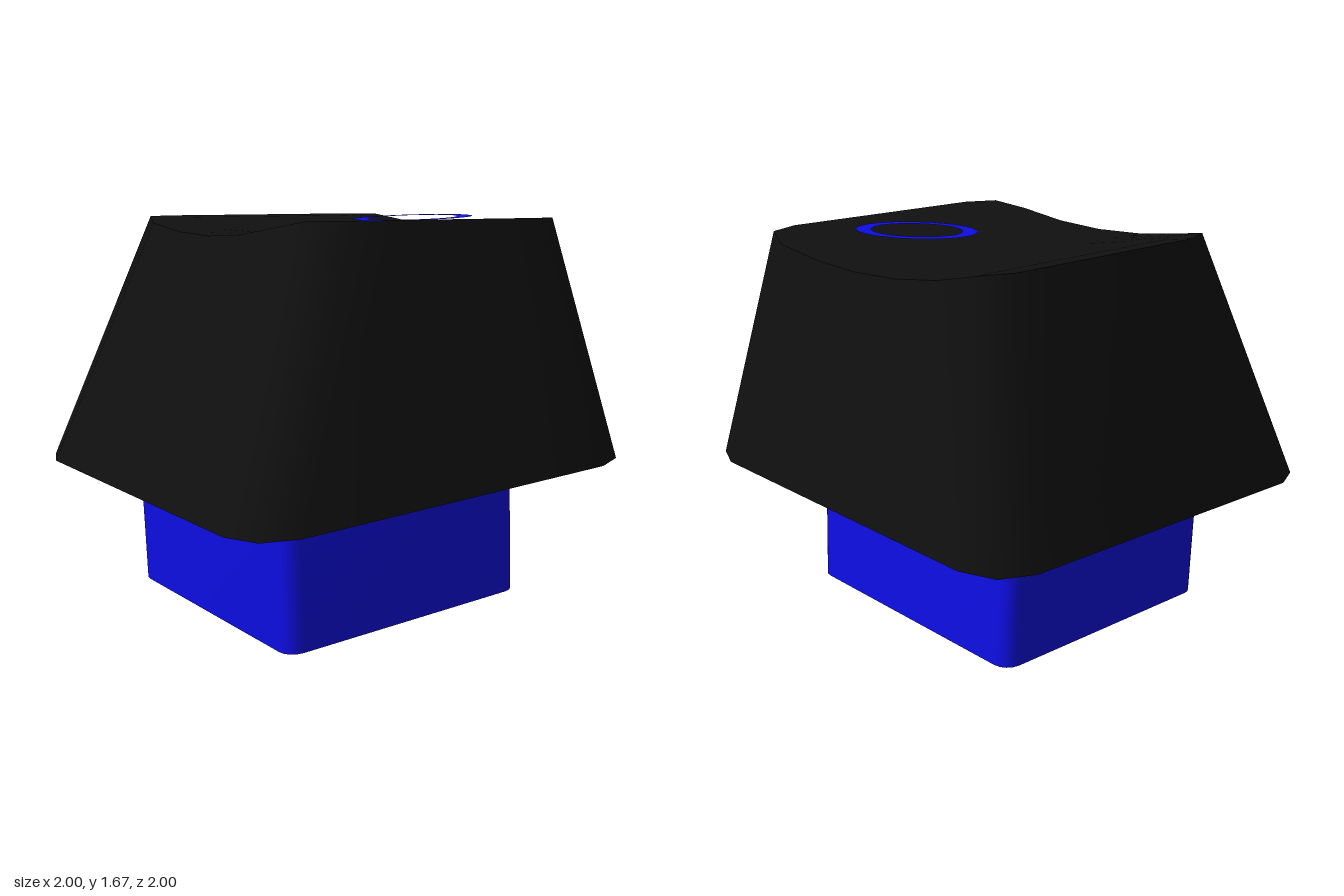
import * as THREE from 'three';
import { toCreasedNormals } from 'three/addons/utils/BufferGeometryUtils.js';

// Rounded rectangle as [x, z] points, with each straight edge subdivided
function outline(halfX, halfZ, radius, cornerSegs, edgeSegs) {
  const points = [];
  const corners = [[1, 1], [-1, 1], [-1, -1], [1, -1]];
  const arcs = corners.map(([sx, sz], c) => {
    const arc = [];
    for (let i = 0; i <= cornerSegs; i++) {
      const a = (c + i / cornerSegs) * Math.PI / 2;
      arc.push([sx * (halfX - radius) + radius * Math.cos(a), sz * (halfZ - radius) + radius * Math.sin(a)]);
    }
    return arc;
  });
  arcs.forEach((arc, c) => {
    points.push(...arc);
    const from = arc[cornerSegs], to = arcs[(c + 1) % 4][0];
    for (let i = 1; i < edgeSegs; i++) {
      const t = i / edgeSegs;
      points.push([from[0] + (to[0] - from[0]) * t, from[1] + (to[1] - from[1]) * t]);
    }
  });
  return points;
}

// Skin a list of rings, each an array of [x, y, z]
function loft(rings, crease) {
  const n = rings[0].length;
  const index = [];
  for (let j = 0; j < rings.length - 1; j++) {
    for (let i = 0; i < n; i++) {
      const k = (i + 1) % n;
      const a = j * n + i, b = j * n + k;
      index.push(a, a + n, b, b, a + n, b + n);
    }
  }
  const geometry = new THREE.BufferGeometry();
  geometry.setAttribute('position', new THREE.Float32BufferAttribute(rings.flat(2), 3));
  geometry.setIndex(index);
  return toCreasedNormals(geometry, crease);
}

const TILT = 0.043;
const YAW = -0.06;

export function createModel() {
  const black = new THREE.MeshStandardMaterial({ color: 0x101010 });
  black.name = 'black';
  const blue = new THREE.MeshStandardMaterial({ color: 0x0e0ee6, side: THREE.DoubleSide });
  blue.name = 'blue';

  const model = new THREE.Group();
  model.name = 'keycap';
  const body = new THREE.Group();
  body.name = 'body';
  body.rotation.y = YAW;
  model.add(body);

  // Tapered cap: sloping flat underside, slanted walls and a dished top
  const lower = outline(0.956, 0.956, 0.2, 2, 4);
  const upper = outline(0.685, 0.69, 0.2, 2, 4);
  const underside = (s) => lower.map(([x, z]) => [x * s, 0.613 - TILT * z * s, z * s]);
  const dish = (x) => Math.min(1.666, 1.596 + 0.07 * (x / 0.63) ** 2);
  const top = (s) => upper.map(([x, z]) => [x * s - 0.007, dish(x * s), z * s - 0.12]);
  const cap = new THREE.Mesh(
    loft([underside(0), underside(1), top(1), top(0.87), top(0.7), top(0.47), top(0.23), top(0)], 0.96), black);
  cap.name = 'cap';
  body.add(cap);

  // Thin-walled base, open at the bottom and closed under the cap
  const wall = outline(0.626, 0.6, 0.07, 4, 1);
  const section = (s, y) => wall.map(([x, z]) => [x * s, y, z * s]);
  const base = new THREE.Mesh(loft([section(1, 0), section(1, 0.58), section(0, 0.58)], 0.7), blue);
  base.name = 'base';
  base.position.y = 0.028;
  base.rotation.x = TILT;
  body.add(base);

  // Flat ring above the dish
  const ringGeometry = new THREE.RingGeometry(0.192, 0.256, 32);
  ringGeometry.rotateX(-Math.PI / 2);
  ringGeometry.scale(1.02, 1, 0.98);
  const ring = new THREE.Mesh(ringGeometry, blue);
  ring.name = 'topRing';
  ring.position.set(0.25, 1.665, -0.285);
  ring.rotation.x = TILT;
  model.add(ring);

  return model;
}
